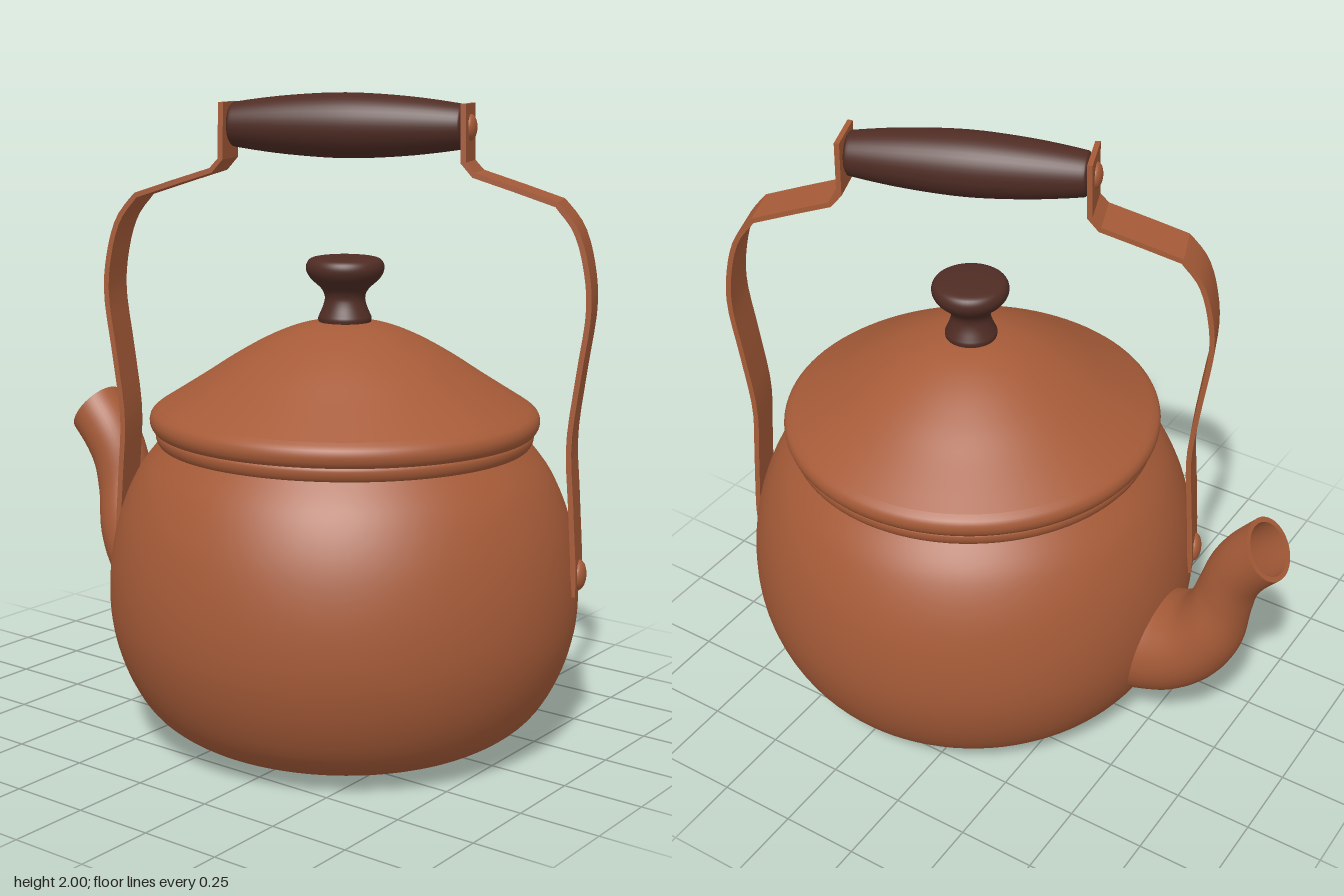
import * as THREE from 'three';
import { toCreasedNormals } from 'three/addons/utils/BufferGeometryUtils.js';

const copper = new THREE.MeshStandardMaterial({ color: 0xa65b38 });
copper.name = 'copper';
const wood = new THREE.MeshStandardMaterial({ color: 0x4f2c24 });
wood.name = 'dark wood';

const AXIS_X = 0.19; // the pot's vertical axis

function part(name, geometry, material, parent) {
  const mesh = new THREE.Mesh(geometry, material);
  mesh.name = name;
  parent.add(mesh);
  return mesh;
}

// Smooth curve through [x, y] points
function smooth(points, divisions) {
  return new THREE.SplineCurve(points.map(([x, y]) => new THREE.Vector2(x, y))).getPoints(divisions);
}

function lathe(points, divisions = 40, segments = 96) {
  const profile = smooth(points, divisions);
  profile.forEach((p) => { p.x = Math.max(p.x, 0); });
  return new THREE.LatheGeometry(profile, segments);
}

// Skin over equal closed rings of points
function skin(rings) {
  const n = rings[0].length;
  const index = [];
  for (let i = 0; i < rings.length - 1; i++) {
    for (let j = 0; j < n; j++) {
      const a = i * n + j, b = i * n + (j + 1) % n;
      index.push(a, a + n, b, b, a + n, b + n);
    }
  }
  const geometry = new THREE.BufferGeometry().setFromPoints(rings.flat());
  geometry.setIndex(index);
  geometry.computeVertexNormals();
  return geometry;
}

// Spout: rings spanned between a lower and an upper edge curve
function makeSpout() {
  const edge = (pts) => new THREE.CatmullRomCurve3(pts.map(([x, y]) => new THREE.Vector3(x, y, 0)));
  const lower = edge([[-0.4, 0.18], [-0.5, 0.2], [-0.62, 0.245], [-0.73, 0.34], [-0.8, 0.47],
    [-0.825, 0.62], [-0.845, 0.71], [-0.875, 0.765], [-0.93, 0.83]]);
  const upper = edge([[-0.42, 0.55], [-0.51, 0.555], [-0.555, 0.57], [-0.6, 0.6], [-0.635, 0.655],
    [-0.66, 0.73], [-0.69, 0.82], [-0.735, 0.9], [-0.81, 0.99]]);
  const ring = (t, wall) => {
    const a = lower.getPoint(t), b = upper.getPoint(t);
    const centre = a.clone().add(b).multiplyScalar(0.5);
    const across = b.sub(a).multiplyScalar(0.5);
    const radius = across.length() - wall;
    across.setLength(radius);
    return Array.from({ length: 40 }, (_, j) => {
      const angle = (j / 40) * Math.PI * 2;
      const p = centre.clone().addScaledVector(across, Math.cos(angle));
      p.z = radius * Math.sin(angle);
      return p;
    });
  };
  const steps = Array.from({ length: 41 }, (_, i) => i / 40);
  const spout = new THREE.Group();
  spout.name = 'spout';
  part('spoutOutside', skin(steps.map((t) => ring(t, 0))), copper, spout);
  part('spoutLip', skin([ring(1, 0), ring(1, 0.016)]), copper, spout);
  part('spoutInside', skin(steps.map((t) => ring(1 - t, 0.016))), copper, spout);
  return spout;
}

// Flat strap: a centre line thickened and extruded across its width
function strapGeometry(thickness, width) {
  const bow = smooth([[0.73, 0.51], [0.729, 0.6], [0.716, 0.8], [0.706, 0.98], [0.728, 1.18],
    [0.752, 1.37], [0.741, 1.5], [0.708, 1.61], [0.65, 1.685]], 28);
  const shoulder = [[0.53, 1.725], [0.405, 1.765], [0.374, 1.8], [0.371, 1.97]];
  const line = [...bow, ...shoulder.map(([x, y]) => new THREE.Vector2(x, y))];
  const side = (s) => line.map((p, i) => {
    const d = line[Math.min(i + 1, line.length - 1)].clone().sub(line[Math.max(i - 1, 0)]).normalize();
    return new THREE.Vector2(p.x + d.y * s, p.y - d.x * s);
  });
  const shape = new THREE.Shape([...side(thickness / 2), ...side(-thickness / 2).reverse()]);
  const geometry = new THREE.ExtrudeGeometry(shape, { depth: width, bevelEnabled: false });
  return toCreasedNormals(geometry.translate(0, 0, -width / 2), 0.35);
}

// Domed rivet head pointing along +x
function rivetGeometry(radius) {
  const dome = new THREE.SphereGeometry(radius, 24, 8, 0, Math.PI * 2, 0, Math.PI / 2);
  return dome.scale(1, 0.5, 1).rotateZ(-Math.PI / 2);
}

export function createModel() {
  const model = new THREE.Group();
  model.name = 'kettle';

  // Pot, collar, lid and knob share one axis
  const pot = new THREE.Group();
  pot.name = 'pot';
  pot.position.x = AXIS_X;
  model.add(pot);

  part('body', lathe([[0, 0.002], [0.2, 0.002], [0.36, 0.004], [0.46, 0.02], [0.55, 0.06], [0.625, 0.125],
    [0.685, 0.23], [0.722, 0.35], [0.733, 0.47], [0.723, 0.6], [0.692, 0.73], [0.638, 0.85], [0.565, 0.945]], 56), copper, pot);
  part('collar', lathe([[0.55, 0.925], [0.573, 0.936], [0.583, 0.953], [0.584, 0.97], [0.578, 0.979]], 14), copper, pot);

  const lid = new THREE.Group();
  lid.name = 'lid';
  pot.add(lid);
  part('lidUnderside', new THREE.LatheGeometry([new THREE.Vector2(0, 0.978), new THREE.Vector2(0.588, 0.978)], 96), copper, lid);
  part('lidRim', lathe([[0.588, 0.978], [0.598, 0.992], [0.602, 1.012], [0.595, 1.033], [0.575, 1.05]], 14), copper, lid);
  part('lidDome', lathe([[0.575, 1.05], [0.535, 1.075], [0.44, 1.135], [0.34, 1.2], [0.24, 1.256],
    [0.15, 1.293], [0.07, 1.31], [0, 1.312]], 36), copper, lid);
  part('knob', lathe([[0.08, 1.305], [0.082, 1.32], [0.077, 1.333], [0.066, 1.36], [0.062, 1.385], [0.073, 1.41],
    [0.105, 1.44], [0.119, 1.465], [0.117, 1.488], [0.1, 1.503], [0.05, 1.509], [0, 1.51]], 44, 48), wood, lid);

  model.add(makeSpout());

  // Carrying handle, turned a little against the spout
  const handle = new THREE.Group();
  handle.name = 'handle';
  handle.position.x = AXIS_X;
  handle.rotation.y = 0.38;
  model.add(handle);

  for (const turn of [0, Math.PI]) {
    const arm = new THREE.Group();
    arm.name = turn ? 'rightArm' : 'leftArm';
    arm.rotation.y = turn;
    part('strap', strapGeometry(0.016, 0.154), copper, arm);
    part('lowerRivet', rivetGeometry(0.047), copper, arm).position.set(0.737, 0.56, 0);
    part('upperRivet', rivetGeometry(0.04), copper, arm).position.set(0.379, 1.9, 0);
    handle.add(arm);
  }

  // Barrel-shaped grip between the arms
  const grip = lathe([[0, -0.364], [0.035, -0.364], [0.062, -0.358], [0.071, -0.33], [0.089, -0.18], [0.098, 0],
    [0.089, 0.18], [0.071, 0.33], [0.062, 0.358], [0.035, 0.364], [0, 0.364]], 50, 40);
  grip.rotateZ(Math.PI / 2);
  part('grip', grip, wood, handle).position.y = 1.902;

  return model;
}
